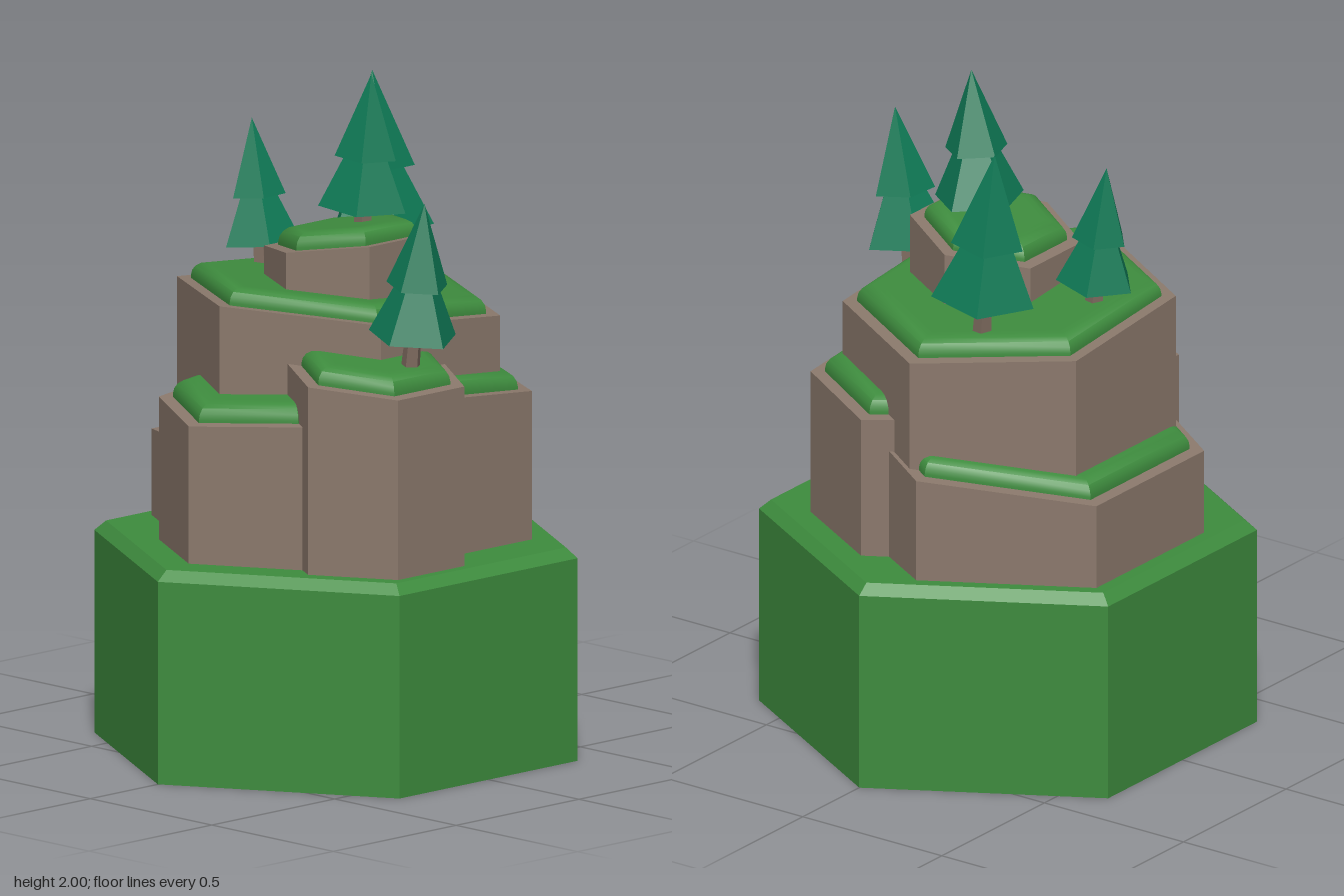
import * as THREE from 'three';
import { toCreasedNormals } from 'three/addons/utils/BufferGeometryUtils.js';

const mat = (name, color, flatShading = false) => {
  const m = new THREE.MeshStandardMaterial({ color, flatShading });
  m.name = name;
  return m;
};

export function createModel() {
  const model = new THREE.Group();
  model.name = 'hexagonalForestRock';
  const grass = mat('grass green', 0x3e8c3e);
  const rock = mat('rock brown', 0x8b796c);
  const needles = mat('pine green', 0x0f7a56, true);
  const bark = mat('bark brown', 0x7f6c60, true);

  const add = (parent, name, geometry, material) => {
    const mesh = new THREE.Mesh(geometry, material);
    mesh.name = name;
    parent.add(mesh);
    return mesh;
  };

  // Six-sided turned solid from a [radius, height] profile, corners pointing to +z and -z
  const hexSolid = (profile) =>
    new THREE.LatheGeometry(profile.map(([r, y]) => new THREE.Vector2(r, y)), 6);

  // Slope every vertex above minY
  const slope = (geometry, sx, sz, minY) => {
    const p = geometry.attributes.position;
    for (let i = 0; i < p.count; i++) {
      if (p.getY(i) > minY) p.setY(i, p.getY(i) + sx * p.getX(i) + sz * p.getZ(i));
    }
    return geometry;
  };

  // Grass base with a bevelled rim
  add(model, 'grassBase', toCreasedNormals(hexSolid(
    [[0, 0], [0.725, 0], [0.725, 0.6], [0.69, 0.63], [0, 0.63]]), 0.3), grass);

  // Rock column with a sloping top and a rounded grass cap
  const addRock = ({ name, x, z, r, bottom, top, sx, sz }) => {
    const g = new THREE.Group();
    g.name = name;
    g.position.set(x, 0, z);
    const column = slope(hexSolid([[0, bottom], [r, bottom], [r, top], [0, top]]), sx, sz, bottom + 0.01);
    add(g, name + 'Column', toCreasedNormals(column, 0.3), rock);

    const edge = r - 0.042, h = 0.052, bevel = 0.05;
    const profile = [[edge, top - 0.005], [edge, top + 0.008]];
    for (let i = 1; i <= 4; i++) {
      const a = (i / 4) * Math.PI / 2;
      profile.push([edge - bevel * (1 - Math.cos(a)), top + 0.008 + (h - 0.008) * Math.sin(a)]);
    }
    profile.push([edge - bevel - 0.02, top + h], [0, top + h]);
    add(g, name + 'GrassCap', toCreasedNormals(slope(hexSolid(profile), sx, sz, 0), 0.7), grass);
    model.add(g);
  };

  [
    { name: 'mainRock', x: -0.045, z: -0.055, r: 0.485, bottom: 0.6, top: 1.32, sx: -0.02, sz: 0.09 },
    { name: 'lowLeftRock', x: -0.105, z: -0.065, r: 0.525, bottom: 0.6, top: 0.94, sx: 0.12, sz: 0 },
    { name: 'backRock', x: 0.135, z: -0.17, r: 0.364, bottom: 0.6, top: 1.085, sx: 0, sz: 0.085 },
    { name: 'rightRock', x: 0.335, z: 0.175, r: 0.27, bottom: 0.6, top: 1.185, sx: -0.1, sz: 0 },
    { name: 'frontRock', x: -0.015, z: 0.245, r: 0.34, bottom: 0.6, top: 1.07, sx: 0, sz: -0.1 },
    { name: 'summitRock', x: 0.035, z: -0.012, r: 0.25, bottom: 1.25, top: 1.505, sx: 0.145, sz: 0 },
  ].forEach(addRock);

  // Leaning five-sided pine: two tiers on a short trunk
  const addTree = ({ name, base, tip, r, turn, trunk }) => {
    const b = new THREE.Vector3(...base);
    const axis = new THREE.Vector3(...tip).sub(b);
    const h = axis.length();
    const g = new THREE.Group();
    g.name = name;
    g.position.copy(b);
    g.quaternion.setFromUnitVectors(new THREE.Vector3(0, 1, 0), axis.normalize());
    const tier = (label, top, bottom, y0, y1, material) => {
      const geo = new THREE.CylinderGeometry(top, bottom, y1 - y0, 5, 1, false, turn);
      add(g, label, geo, material).position.y = (y0 + y1) / 2;
    };
    tier('trunk', 0.024, 0.03, -trunk, 0.02, bark);
    tier('lowerBranches', r * 0.43, r, 0, h * 0.42, needles);
    tier('upperBranches', 0, r * 0.7, h * 0.38, h, needles);
    model.add(g);
  };

  [
    { name: 'summitPine', base: [0.07, 1.605, -0.045], tip: [0.095, 2, -0.05], r: 0.135, turn: Math.PI, trunk: 0.09 },
    { name: 'backPine', base: [-0.175, 1.46, -0.35], tip: [-0.222, 1.915, -0.366], r: 0.158, turn: -2.65, trunk: 0.16 },
    { name: 'leftPine', base: [-0.34, 1.437, -0.03], tip: [-0.377, 1.8, -0.03], r: 0.118, turn: -1.49, trunk: 0.1 },
    { name: 'rightPine', base: [0.47, 1.312, 0.15], tip: [0.52, 1.713, 0.154], r: 0.133, turn: 1.5, trunk: 0.13 },
  ].forEach(addTree);

  return model;
}
